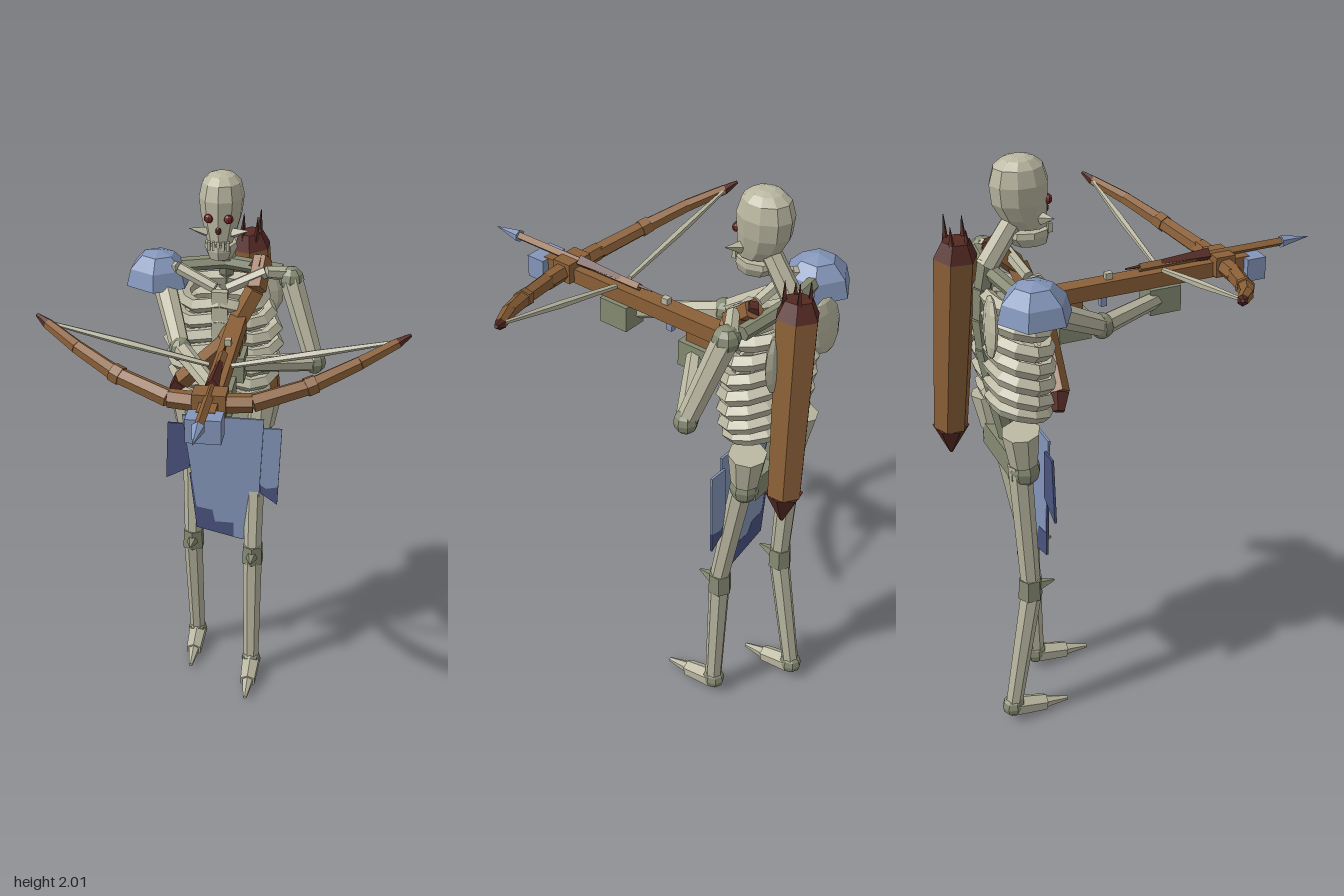
import * as THREE from 'three';

const mat = (name, color) => {
  const m = new THREE.MeshStandardMaterial({ color, side: THREE.DoubleSide, flatShading: true });
  m.name = name;
  return m;
};
const V = (p) => new THREE.Vector3(...p);

export function createModel() {
  const root = new THREE.Group();
  const bone = mat('bone', 0xb9b6a0), joint = mat('old bone', 0x858a72);
  const steel = mat('blue steel', 0x8496ba), dark = mat('dark cloth', 0x4a5480);
  const wood = mat('wood', 0x8b6038), tip = mat('dark wood', 0x552a24), eye = mat('eye red', 0x6b2622);

  const add = (name, geo, m, parent = root) => {
    const o = new THREE.Mesh(geo, m);
    o.name = name;
    parent.add(o);
    return o;
  };
  const group = (name) => {
    const g = new THREE.Group();
    g.name = name;
    root.add(g);
    return g;
  };
  // Tapered rod between two points
  const rod = (name, a, b, r1, r2, m, parent, sides = 7) => {
    const A = V(a), B = V(b), d = B.clone().sub(A);
    const o = add(name, new THREE.CylinderGeometry(r2, r1, d.length(), sides), m, parent);
    o.position.copy(A).add(B).multiplyScalar(0.5);
    o.quaternion.setFromUnitVectors(new THREE.Vector3(0, 1, 0), d.normalize());
    return o;
  };
  const box = (name, c, s, m, parent) => {
    const o = add(name, new THREE.BoxGeometry(...s), m, parent);
    o.position.set(...c);
    return o;
  };
  const ball = (name, c, s, m, parent) => {
    const o = add(name, new THREE.SphereGeometry(1, 8, 6), m, parent);
    o.position.set(...c);
    o.scale.set(...s);
    return o;
  };
  // Thin cut-out plate facing the front
  const plate = (name, pts, z, m, parent) => {
    const shape = new THREE.Shape(pts.map((p) => new THREE.Vector2(...p)));
    const o = add(name, new THREE.ExtrudeGeometry(shape, { depth: 0.008, bevelEnabled: false }), m, parent);
    o.position.z = z;
    return o;
  };
  // Elliptical sections [y, half width, z front, z back] joined into a skin
  const loft = (sections, cx, n = 10) => {
    const pos = [], idx = [];
    sections.forEach(([y, w, f, b]) => {
      for (let i = 0; i < n; i++) {
        const t = (i / n) * Math.PI * 2;
        pos.push(cx + Math.sin(t) * w, y, (f + b) / 2 + Math.cos(t) * (f - b) / 2);
      }
    });
    for (let k = 0; k < sections.length - 1; k++) for (let i = 0; i < n; i++) {
      const a = k * n + i, b = k * n + (i + 1) % n;
      idx.push(a, b, a + n, b, b + n, a + n);
    }
    const last = (sections.length - 1) * n;
    for (let i = 1; i < n - 1; i++) idx.push(0, i + 1, i, last, last + i, last + i + 1);
    const g = new THREE.BufferGeometry();
    g.setAttribute('position', new THREE.Float32BufferAttribute(pos, 3));
    g.setIndex(idx);
    g.computeVertexNormals();
    return g;
  };
  const cx = -0.065;

  // Skull, jaw and face
  const head = group('head');
  add('cranium', loft([[1.775, 0.045, -0.31, -0.42], [1.81, 0.056, -0.308, -0.455], [1.86, 0.07, -0.306, -0.483],
    [1.92, 0.077, -0.303, -0.489], [1.97, 0.066, -0.318, -0.474], [1.992, 0.045, -0.345, -0.445],
    [2.0, 0.022, -0.37, -0.42]], cx), bone, head);
  add('jaw', loft([[1.72, 0.042, -0.31, -0.42], [1.75, 0.056, -0.302, -0.445], [1.768, 0.054, -0.304, -0.44]], cx, 8), bone, head);
  for (let i = -2; i <= 2; i++) box('tooth', [cx + i * 0.016, 1.772, -0.313], [0.01, 0.03, 0.014], bone, head);
  for (const s of [-1, 1]) {
    ball('eyeSocket', [cx + s * 0.033, 1.864, -0.318], [0.017, 0.016, 0.014], eye, head);
    rod('cheekSpike', [cx + s * 0.045, 1.81, -0.345], [cx + s * 0.1, 1.825, -0.325], 0.02, 0.001, bone, head, 4);
  }
  ball('noseHole', [cx, 1.825, -0.311], [0.01, 0.014, 0.008], tip, head);

  // Spine
  const spine = group('spine');
  rod('neck', [cx, 1.8, -0.42], [cx, 1.67, -0.51], 0.033, 0.036, bone, spine);
  const sp = [[1.69, -0.505], [1.6, -0.525], [1.5, -0.535], [1.4, -0.53], [1.3, -0.515], [1.2, -0.495], [1.04, -0.465]];
  for (let i = 0; i < sp.length - 1; i++)
    rod('vertebra', [cx, ...sp[i]], [cx, ...sp[i + 1]], 0.032, 0.028, joint, spine, 6);

  // Rib cage
  const ribs = group('ribCage');
  [0.14, 0.165, 0.185, 0.19, 0.185, 0.175, 0.145].forEach((w, i) => {
    const y = 1.56 - i * 0.058;
    for (const s of [-1, 1]) {
      const c = new THREE.CatmullRomCurve3([[0.01, y + 0.02, -0.52], [w * 0.7, y + 0.015, -0.51], [w, y - 0.005, -0.435],
        [w * 0.72, y - 0.025, -0.37], [0, y - 0.005, -0.35 - i * 0.004]].map(([x, py, z]) => V([cx + s * x, py, z])));
      add('rib', new THREE.TubeGeometry(c, 8, 0.027, 5), bone, ribs);
    }
  });
  box('breastbone', [cx, 1.48, -0.345], [0.055, 0.24, 0.03], bone, ribs);
  for (const s of [-1, 1]) {
    rod('collarbone', [cx + s * 0.02, 1.6, -0.37], [cx + s * 0.15, 1.655, -0.4], 0.02, 0.022, bone, ribs, 6);
    rod('collarboneEnd', [cx + s * 0.15, 1.655, -0.4], [cx + s * 0.23, 1.635, -0.45], 0.022, 0.026, bone, ribs, 6);
    rod('shoulderBridge', [cx, 1.65, -0.5], [cx + s * 0.2, 1.635, -0.47], 0.025, 0.025, joint, ribs, 6);
    const blade = ball('shoulderBlade', [cx + s * 0.13, 1.53, -0.55], [0.07, 0.1, 0.018], bone, ribs);
    blade.rotation.set(0.08, s * 0.12, s * 0.1);
  }

  // Pelvis
  const pelvis = group('pelvis');
  for (const s of [-1, 1]) {
    rod('hipWing', [cx + s * 0.135, 1.04, -0.465], [cx + s * 0.145, 1.16, -0.475], 0.048, 0.063, bone, pelvis, 8);
    ball('hipJoint', [cx + s * 0.125, 1.01, -0.46], [0.055, 0.06, 0.052], joint, pelvis);
  }
  box('pelvisBar', [cx, 1.02, -0.47], [0.27, 0.085, 0.075], joint, pelvis);

  // Legs
  const leg = (name, x, hipZ, kneeZ, heelZ) => {
    const g = group(name);
    rod('thigh', [x, 1.03, hipZ], [x, 0.56, kneeZ], 0.04, 0.034, bone, g);
    rod('knee', [x, 0.575, kneeZ], [x, 0.5, kneeZ - 0.002], 0.04, 0.043, joint, g, 6);
    rod('kneeSpike', [x, 0.537, kneeZ + 0.02], [x, 0.54, kneeZ + 0.085], 0.025, 0.004, joint, g, 5);
    rod('shin', [x, 0.51, kneeZ], [x, 0.06, heelZ + 0.015], 0.037, 0.03, bone, g);
    ball('heel', [x, 0.05, heelZ + 0.015], [0.038, 0.042, 0.042], joint, g);
    const foot = rod('foot', [x, 0.045, heelZ + 0.015], [x, 0.022, heelZ + 0.13], 0.036, 0.03, bone, g, 6);
    foot.scale.x = 1.05;
    rod('toes', [x, 0.024, heelZ + 0.12], [x, 0.009, heelZ + 0.215], 0.024, 0.008, bone, g, 6);
  };
  leg('leftLeg', 0.055, -0.45, -0.37, -0.375);
  leg('rightLeg', -0.185, -0.475, -0.455, -0.55);

  // Arms and gripping hands
  const arm = (name, sh, el, wr, hand) => {
    const g = group(name);
    ball('shoulder', sh, [0.045, 0.045, 0.045], joint, g);
    rod('upperArm', sh, el, 0.042, 0.034, bone, g);
    ball('elbow', el, [0.04, 0.042, 0.04], joint, g);
    rod('forearm', el, wr, 0.034, 0.028, bone, g);
    box('hand', hand, [0.09, 0.09, 0.11], joint, g);
  };
  arm('leftArm', [0.17, 1.62, -0.44], [0.265, 1.345, -0.37], [0.03, 1.39, -0.22], [-0.003, 1.39, -0.217]);
  arm('rightArm', [-0.27, 1.59, -0.42], [-0.175, 1.45, -0.18], [-0.02, 1.425, 0.08], [0, 1.425, 0.105]);

  // Shoulder guard
  const guard = add('shoulderGuard', new THREE.SphereGeometry(0.118, 6, 3, Math.PI / 6, Math.PI * 2, 0, Math.PI / 2), steel);
  guard.position.set(-0.295, 1.585, -0.445);

  // Ragged waist cloth
  const cloth = group('waistCloth');
  plate('frontCloth', [[-0.21, 1.1], [0.09, 1.1], [0.075, 0.78], [0.055, 0.74], [0.06, 0.62], [0.02, 0.59], [-0.02, 0.6],
    [-0.02, 0.66], [-0.09, 0.66], [-0.1, 0.71], [-0.16, 0.72]], -0.385, steel, cloth);
  plate('frontClothHem', [[-0.175, 0.86], [-0.16, 0.72], [-0.1, 0.71], [-0.08, 0.67], [0.0, 0.67], [0.01, 0.59],
    [-0.16, 0.63], [-0.185, 0.86]], -0.386, dark, cloth);
  plate('rightClothStrip', [[-0.265, 1.06], [-0.2, 1.06], [-0.185, 0.88], [-0.275, 0.83]], -0.396, dark, cloth);
  plate('leftClothStrip', [[0.085, 1.06], [0.155, 1.06], [0.145, 0.82], [0.1, 0.81], [0.07, 0.83]], -0.396, steel, cloth);
  plate('leftClothHem', [[0.07, 0.83], [0.1, 0.81], [0.145, 0.82], [0.142, 0.745], [0.065, 0.8]], -0.396, dark, cloth);

  // Quiver with arrows, hung on a chest strap
  const quiver = group('quiver');
  const qt = [0.015, 1.68, -0.58], qb = [0.072, 1.07, -0.615];
  rod('quiverBody', qb, qt, 0.058, 0.07, wood, quiver, 6);
  rod('quiverTip', qb, [0.08, 0.965, -0.618], 0.06, 0.006, tip, quiver, 6);
  rod('quiverCap', qt, [0.01, 1.735, -0.577], 0.071, 0.045, tip, quiver, 6);
  for (const [x, z, h] of [[-0.02, -0.6, 1.79], [0.04, -0.6, 1.81], [0.035, -0.545, 1.8], [-0.015, -0.55, 1.77]])
    rod('arrowEnd', [x, 1.7, z], [x + 0.005, h, z], 0.013, 0.001, tip, quiver, 4);
  const strap = group('chestStrap');
  const st = [[0.065, 1.68, -0.46], [0.055, 1.6, -0.37], [-0.04, 1.42, -0.32], [-0.2, 1.26, -0.34], [-0.235, 1.215, -0.355]];
  for (let i = 0; i < 4; i++) rod('strapPiece', st[i], st[i + 1], 0.036, i === 3 ? 0.02 : 0.036, i === 3 ? tip : wood, strap, 5);
  rod('strapTop', [0.06, 1.655, -0.44], [0.065, 1.695, -0.46], 0.04, 0.02, tip, strap, 4);

  // Crossbow
  const bow = group('crossbow');
  box('stock', [0, 1.495, 0.045], [0.058, 0.052, 0.75], wood, bow);
  box('stockButt', [0, 1.455, -0.225], [0.05, 0.075, 0.09], wood, bow);
  box('stockEnd', [0, 1.475, -0.32], [0.056, 0.09, 0.035], wood, bow);
  box('frontBlock', [0, 1.48, 0.435], [0.11, 0.078, 0.068], steel, bow);
  box('nut', [0, 1.53, -0.08], [0.022, 0.025, 0.025], bone, bow);
  box('trigger', [0, 1.45, -0.1], [0.02, 0.04, 0.022], steel, bow);
  box('bowMount', [0, 1.51, 0.32], [0.105, 0.07, 0.07], wood, bow);
  rod('boltShaft', [0, 1.538, 0.03], [0, 1.538, 0.57], 0.015, 0.015, wood, bow, 4);
  rod('boltHead', [0, 1.538, 0.555], [0, 1.538, 0.66], 0.022, 0.001, steel, bow, 6);
  rod('boltFletching', [0, 1.542, 0.28], [0, 1.542, -0.02], 0.022, 0.003, tip, bow, 4);
  const limb = [[0, 1.505, 0.325], [0.13, 1.51, 0.315], [0.3, 1.55, 0.255], [0.44, 1.6, 0.18], [0.55, 1.64, 0.105], [0.59, 1.66, 0.082]];
  const lr = [0.032, 0.03, 0.027, 0.023, 0.018, 0.006];
  for (const s of [-1, 1]) {
    const p = limb.map(([x, y, z]) => [s * x, y, z]);
    for (let i = 0; i < 5; i++) rod(i === 4 ? 'limbTip' : 'limb', p[i], p[i + 1], lr[i], lr[i + 1], i === 4 ? tip : wood, bow, 6);
    rod('limbBand', [s * 0.285, 1.546, 0.26], [s * 0.315, 1.556, 0.248], 0.032, 0.031, wood, bow, 6);
    rod('string', [s * 0.555, 1.645, 0.1], [s * 0.3, 1.588, 0.1], 0.006, 0.013, bone, bow, 5);
    rod('string', [s * 0.3, 1.588, 0.1], [s * 0.035, 1.53, 0.1], 0.013, 0.009, bone, bow, 5);
  }
  return root;
}
